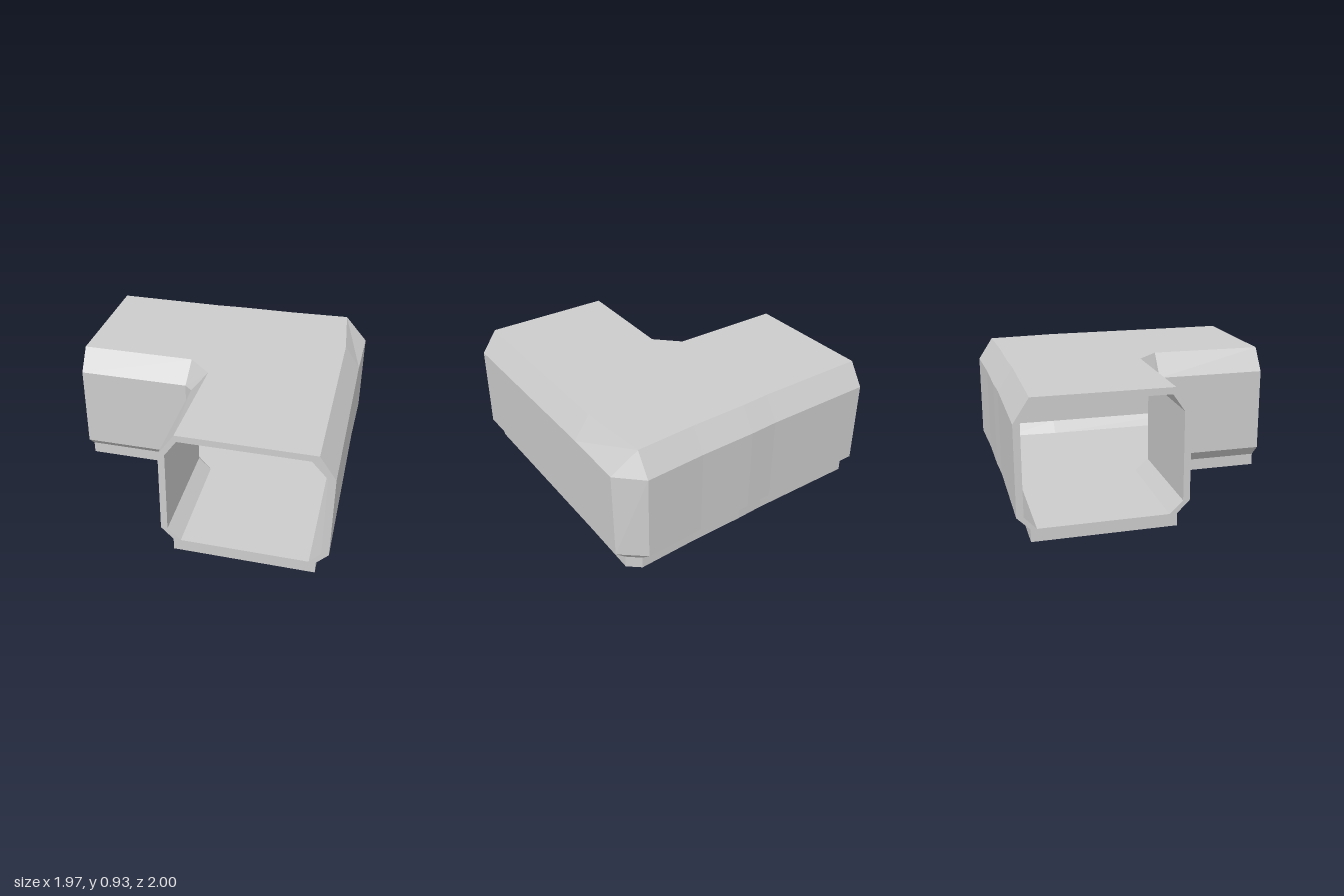
import * as THREE from 'three';

// Plan line along the inside of the bend: left leg, short chamfer, front leg
function insideLine(y, zLeg, x1, x2, zTurn, xEnd) {
  const p = (x, z) => new THREE.Vector3(x, y, z);
  const a = p(x1, zLeg), b = p(x2, zTurn);
  return [p(-0.985, zLeg), a, a, a, a, b, b, p(xEnd, 0.995)];
}

// Plan line along the outside of the bend, flaring slightly toward the corner
function outsideLine(y, zLeg, xA, zA, xB, zB, xEnd) {
  const p = (x, z) => new THREE.Vector3(x, y, z);
  const flare = t => zLeg + (zA - zLeg) * t;
  return [p(-0.985, zLeg), p(-0.2, zLeg), p(0, flare(0.29)), p(0.4, flare(0.43)),
    p(xA, zA), p(xB, zB), p(xEnd, -0.4), p(xEnd, 0.995)];
}

// Section loops run up the inside of the bend, then down the outside
const outerLines = [
  insideLine(0, 0.07, -0.2, -0.06, 0.205, -0.06),
  insideLine(0.085, 0.07, -0.2, -0.06, 0.205, -0.06),
  insideLine(0.17, 0.155, -0.2, -0.145, 0.205, -0.145),
  insideLine(0.77, 0.155, -0.2, -0.145, 0.205, -0.145),
  insideLine(0.93, 0.05, -0.18, -0.02, 0.205, -0.035),
  outsideLine(0.93, -0.86, 0.82, -0.895, 0.82, -0.895, 0.865),
  outsideLine(0.77, -0.965, 0.82, -1, 0.985, -0.845, 0.975),
  outsideLine(0.17, -0.965, 0.82, -1, 0.985, -0.865, 0.975),
  outsideLine(0.085, -0.88, 0.815, -0.91, 0.9, -0.84, 0.895),
  outsideLine(0, -0.88, 0.815, -0.91, 0.9, -0.84, 0.895),
];
const innerLines = [
  insideLine(0.085, 0.02, -0.17, -0.01, 0.185, -0.01),
  insideLine(0.17, 0.11, -0.18, -0.1, 0.185, -0.1),
  insideLine(0.77, 0.11, -0.18, -0.1, 0.185, -0.1),
  insideLine(0.885, 0.03, -0.16, -0.01, 0.185, -0.02),
  outsideLine(0.885, -0.82, 0.78, -0.85, 0.78, -0.85, 0.82),
  outsideLine(0.77, -0.92, 0.78, -0.95, 0.885, -0.82, 0.925),
  outsideLine(0.17, -0.92, 0.79, -0.95, 0.93, -0.83, 0.925),
  outsideLine(0.085, -0.84, 0.77, -0.87, 0.87, -0.8, 0.85),
];

// Adds a quad as two triangles, leaving out collapsed ones
function addQuad(out, a, b, c, d) {
  for (const t of [[a, b, c], [a, c, d]]) {
    if (new THREE.Triangle(...t).getArea() > 1e-7) t.forEach(v => out.push(v.x, v.y, v.z));
  }
}

function makeMesh(name, positions) {
  const geometry = new THREE.BufferGeometry();
  geometry.setAttribute('position', new THREE.Float32BufferAttribute(positions, 3));
  geometry.computeVertexNormals();
  const mesh = new THREE.Mesh(geometry,
    new THREE.MeshStandardMaterial({ color: 0xcccccc, flatShading: true }));
  mesh.name = name;
  return mesh;
}

// Skins the section loops along the bend
function makeTunnel(name, lines, facesInward) {
  const out = [];
  lines.forEach((line, i) => {
    const next = lines[(i + 1) % lines.length];
    for (let s = 0; s < line.length - 1; s++) {
      const q = [line[s], line[s + 1], next[s + 1], next[s]];
      addQuad(out, ...(facesInward ? q.reverse() : q));
    }
  });
  return makeMesh(name, out);
}

// Flat rim joining the shell and the lining at one open end
function makeRim(name, station, flip) {
  const match = [0, 0, 1, 2, 3, 4, 5, 6, 7, 7];
  const out = [];
  match.forEach((m, i) => {
    const j = (i + 1) % match.length;
    const q = [outerLines[i][station], outerLines[j][station],
      innerLines[match[j]][station], innerLines[m][station]];
    addQuad(out, ...(flip ? q.reverse() : q));
  });
  return makeMesh(name, out);
}

export function createModel() {
  const group = new THREE.Group();
  group.name = 'cornerCorridor';
  group.add(
    makeTunnel('outerShell', outerLines, false),
    makeTunnel('innerLining', innerLines, true),
    makeRim('sideOpeningRim', 0, false),
    makeRim('frontOpeningRim', 7, true),
  );
  return group;
}
